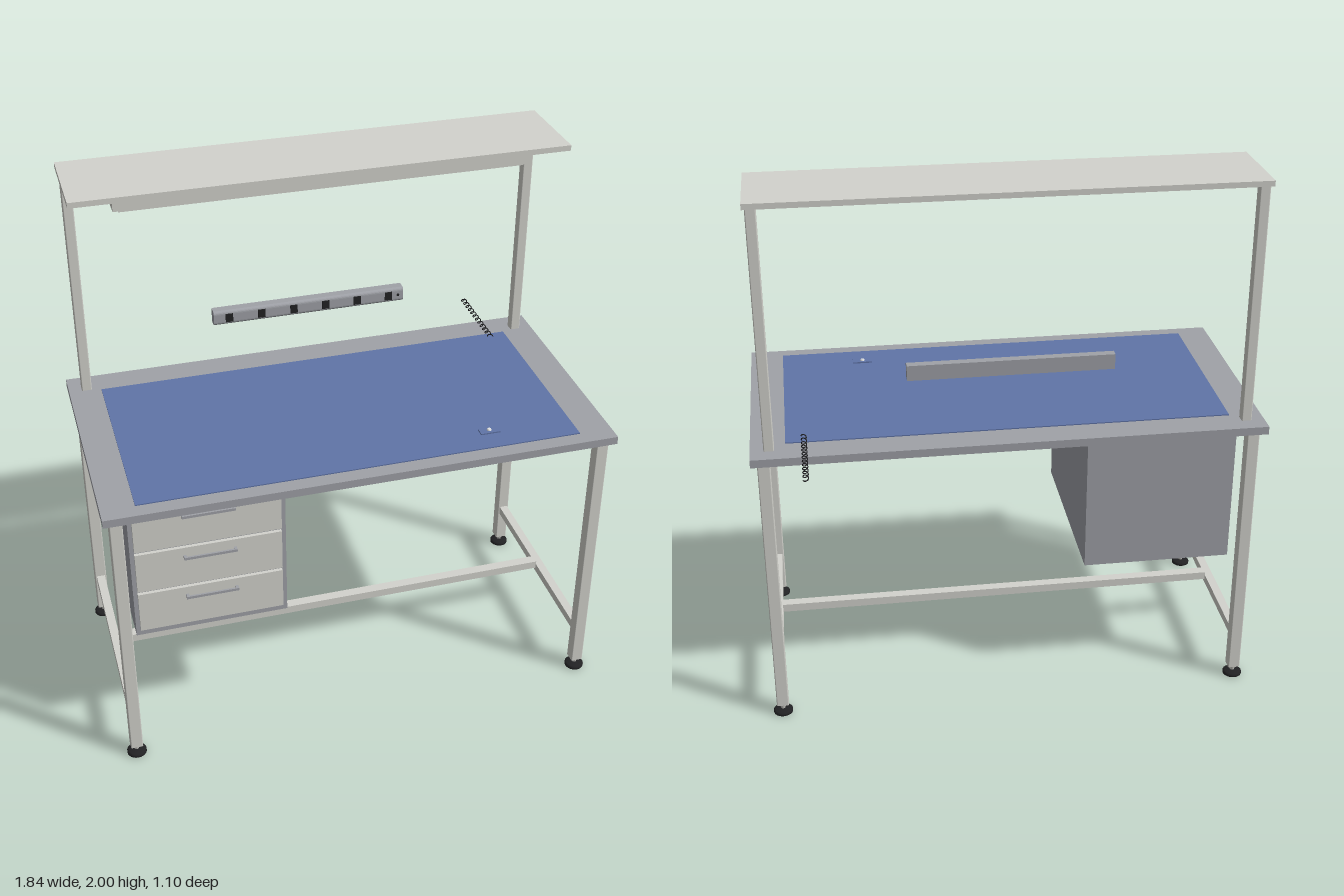
import * as THREE from 'three';

const mat = (name, color) => {
  const m = new THREE.MeshStandardMaterial({ color });
  m.name = name;
  return m;
};

export function createModel() {
  const light = mat('light grey paint', 0xd3d3cd);
  const grey = mat('mid grey', 0xa0a2a8);
  const blue = mat('blue mat', 0x6075a8);
  const black = mat('black rubber', 0x222224);
  const white = mat('pale metal', 0xe4e4e4);

  const root = new THREE.Group();
  root.name = 'workbench';

  const add = (name, geometry, material, parent = root) => {
    const m = new THREE.Mesh(geometry, material);
    m.name = name;
    parent.add(m);
    return m;
  };
  // Box given by its lower and upper limits on each axis
  const box = (name, [x0, x1], [y0, y1], [z0, z1], material, parent) => {
    const m = add(name, new THREE.BoxGeometry(x1 - x0, y1 - y0, z1 - z0), material, parent);
    m.position.set((x0 + x1) / 2, (y0 + y1) / 2, (z0 + z1) / 2);
    return m;
  };
  // Rounded rectangle outline
  const roundRect = (w, h, r) => {
    const s = new THREE.Shape(), a = w / 2, b = h / 2;
    s.absarc(a - r, b - r, r, 0, Math.PI / 2);
    s.absarc(-a + r, b - r, r, Math.PI / 2, Math.PI);
    s.absarc(-a + r, -b + r, r, Math.PI, Math.PI * 1.5);
    s.absarc(a - r, -b + r, r, Math.PI * 1.5, Math.PI * 2);
    return s;
  };
  // Upright square tube with softened corners
  const tube = (name, x, z, w, y0, y1, parent) => {
    const g = new THREE.ExtrudeGeometry(roundRect(w, w, 0.004),
      { depth: y1 - y0, bevelEnabled: false, curveSegments: 3 });
    g.rotateX(-Math.PI / 2);
    add(name, g, light, parent).position.set(x, y0, z);
  };

  // Worktop and mat
  box('tabletop', [-0.918, 0.918], [1.075, 1.105], [-0.37, 0.545], grey);
  box('deskMat', [-0.8, 0.795], [1.105, 1.109], [-0.26, 0.49], blue);

  // Earthing plate with stud on the mat
  box('groundPlate', [0.452, 0.525], [1.109, 1.114], [0.375, 0.41], blue);
  const stud = add('groundStud', new THREE.CylinderGeometry(0.007, 0.009, 0.006, 16), white);
  stud.position.set(0.488, 1.116, 0.392);

  // Legs with levelling feet
  const footProfile = [[0, 0.005], [0.032, 0.005], [0.036, 0.008], [0.036, 0.016],
    [0.03, 0.02], [0.012, 0.024], [0, 0.024]].map(p => new THREE.Vector2(...p));
  for (const x of [-0.873, 0.873]) for (const z of [0.503, -0.318]) {
    const leg = new THREE.Group();
    leg.name = 'leg';
    root.add(leg);
    tube('legPost', x, z, 0.045, 0.042, 1.075, leg);
    const foot = add('footPad', new THREE.LatheGeometry(footProfile, 24), black, leg);
    foot.position.set(x, -0.005, z);
    const stem = add('footStem', new THREE.CylinderGeometry(0.014, 0.008, 0.026, 16), light, leg);
    stem.position.set(x, 0.03, z);
  }

  // Lower frame
  for (const x of [-0.873, 0.873])
    box('sideRail', [x - 0.016, x + 0.016], [0.172, 0.206], [-0.297, 0.482], light);
  box('footRail', [-0.858, 0.858], [0.187, 0.219], [0.073, 0.111], light);

  // Drawer cabinet
  box('cabinet', [-0.83, -0.28], [0.52, 1.075], [-0.275, 0.46], grey);
  [[0.895, 1.06], [0.722, 0.883], [0.549, 0.71]].forEach(([y0, y1]) => {
    const drawer = new THREE.Group();
    drawer.name = 'drawer';
    root.add(drawer);
    box('drawerFront', [-0.815, -0.297], [y0, y1], [0.46, 0.473], light, drawer);
    const hy = y1 - 0.036;
    box('drawerHandle', [-0.647, -0.46], [hy - 0.005, hy + 0.005], [0.484, 0.491], grey, drawer);
    for (const x of [-0.642, -0.465])
      box('handleEnd', [x - 0.005, x + 0.005], [hy - 0.005, hy + 0.005], [0.473, 0.486], grey, drawer);
  });

  // Uprights, top shelf and lamp
  for (const x of [-0.852, 0.852]) tube('upright', x, -0.292, 0.037, 1.105, 1.98);
  box('topShelf', [-0.88, 0.88], [1.98, 2], [-0.32, 0.02], light);
  box('lampBody', [-0.735, 0.73], [1.95, 1.98], [-0.065, 0.02], light);
  box('lampDiffuser', [-0.715, 0.71], [1.941, 1.95], [-0.055, 0.008], light);

  // Power strip: rounded front, six sockets and a small switch
  const strip = new THREE.Shape();
  strip.moveTo(-0.275, 1.325);
  strip.lineTo(-0.245, 1.325);
  strip.quadraticCurveTo(-0.235, 1.328, -0.235, 1.338);
  strip.lineTo(-0.235, 1.368);
  strip.quadraticCurveTo(-0.235, 1.378, -0.245, 1.381);
  strip.lineTo(-0.275, 1.381);
  const stripGeo = new THREE.ExtrudeGeometry(strip, { depth: 0.732, bevelEnabled: false, curveSegments: 4 });
  stripGeo.rotateY(Math.PI / 2); // profile x becomes -z
  stripGeo.rotateY(Math.PI); // turn the rounded side to the front
  const power = add('powerStrip', stripGeo, grey);
  power.position.x = 0.364;
  for (let i = 0; i < 6; i++) {
    const x = -0.31 + i * 0.123;
    box('socket', [x - 0.014, x + 0.014], [1.337, 1.37], [-0.237, -0.232], black);
  }
  const button = add('stripSwitch', new THREE.CylinderGeometry(0.005, 0.005, 0.004, 12), black);
  button.rotation.x = Math.PI / 2;
  button.position.set(0.343, 1.354, -0.234);

  // Coiled earthing cord running off the back
  const coil = [], turns = 12;
  for (let i = 0; i <= turns * 10; i++) {
    const t = i / 10, a = t * Math.PI * 2;
    coil.push(new THREE.Vector3(0.73 + 0.009 * Math.cos(a), 1.114 + 0.008 * Math.sin(a),
      -0.225 - 0.325 * t / turns));
  }
  add('coiledCord', new THREE.TubeGeometry(new THREE.CatmullRomCurve3(coil), 240, 0.002, 6), black);

  return root;
}
